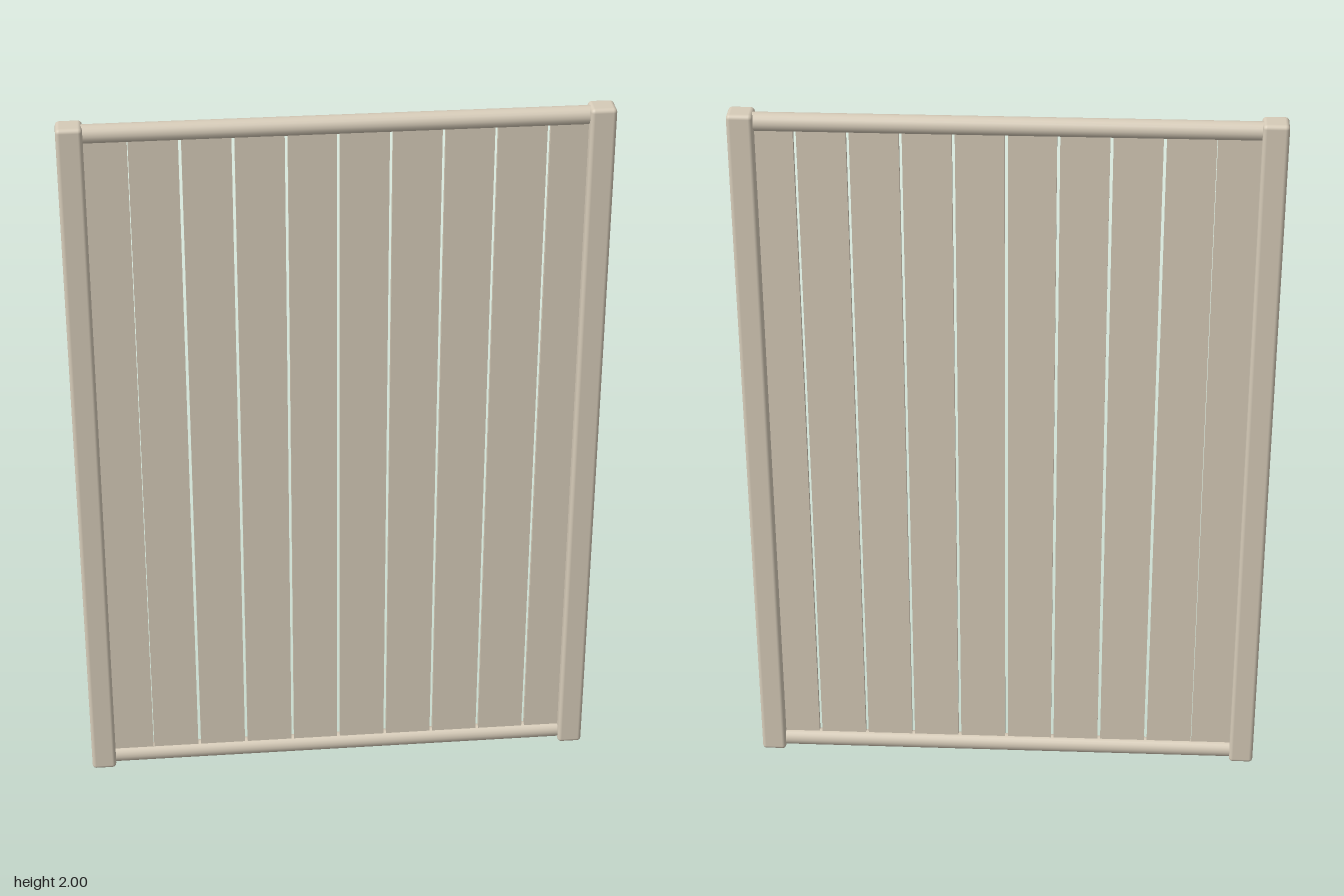
import * as THREE from 'three';
import { RoundedBoxGeometry } from 'three/addons/geometries/RoundedBoxGeometry.js';

export function createModel() {
  const model = new THREE.Group();
  model.name = 'fencePanel';
  const wood = new THREE.MeshStandardMaterial({ color: 0xd6cbb8 });

  const add = (name, geometry, x, y, z = 0) => {
    const mesh = new THREE.Mesh(geometry, wood);
    mesh.name = name;
    mesh.position.set(x, y, z);
    model.add(mesh);
    return mesh;
  };

  // Side posts: square with softened edges
  const postGeo = new RoundedBoxGeometry(0.068, 2, 0.068, 3, 0.011);
  add('leftPost', postGeo, 0.678, 1);
  add('rightPost', postGeo, -0.678, 1);

  // Round top and bottom rails running between the posts
  const railGeo = new THREE.CylinderGeometry(0.0245, 0.0245, 1.31, 20);
  railGeo.rotateZ(Math.PI / 2);
  add('topRail', railGeo, 0, 1.973, -0.002);
  add('bottomRail', railGeo, 0, 0.029, -0.002);

  // Vertical boards separated by narrow gaps, tucked into rails and posts
  const seams = [-0.66, -0.536, -0.401, -0.266, -0.131, 0.002, 0.137, 0.272, 0.407, 0.542, 0.66];
  const gap = 0.008;
  for (let i = 0; i < seams.length - 1; i++) {
    const x0 = seams[i] + gap / 2;
    // The first pair of boards nearly touches
    const x1 = seams[i + 1] - (i === 0 ? -0.002 : gap / 2);
    add(`board${i + 1}`, new THREE.BoxGeometry(x1 - x0, 1.94, 0.016), (x0 + x1) / 2, 1.001);
  }

  return model;
}
